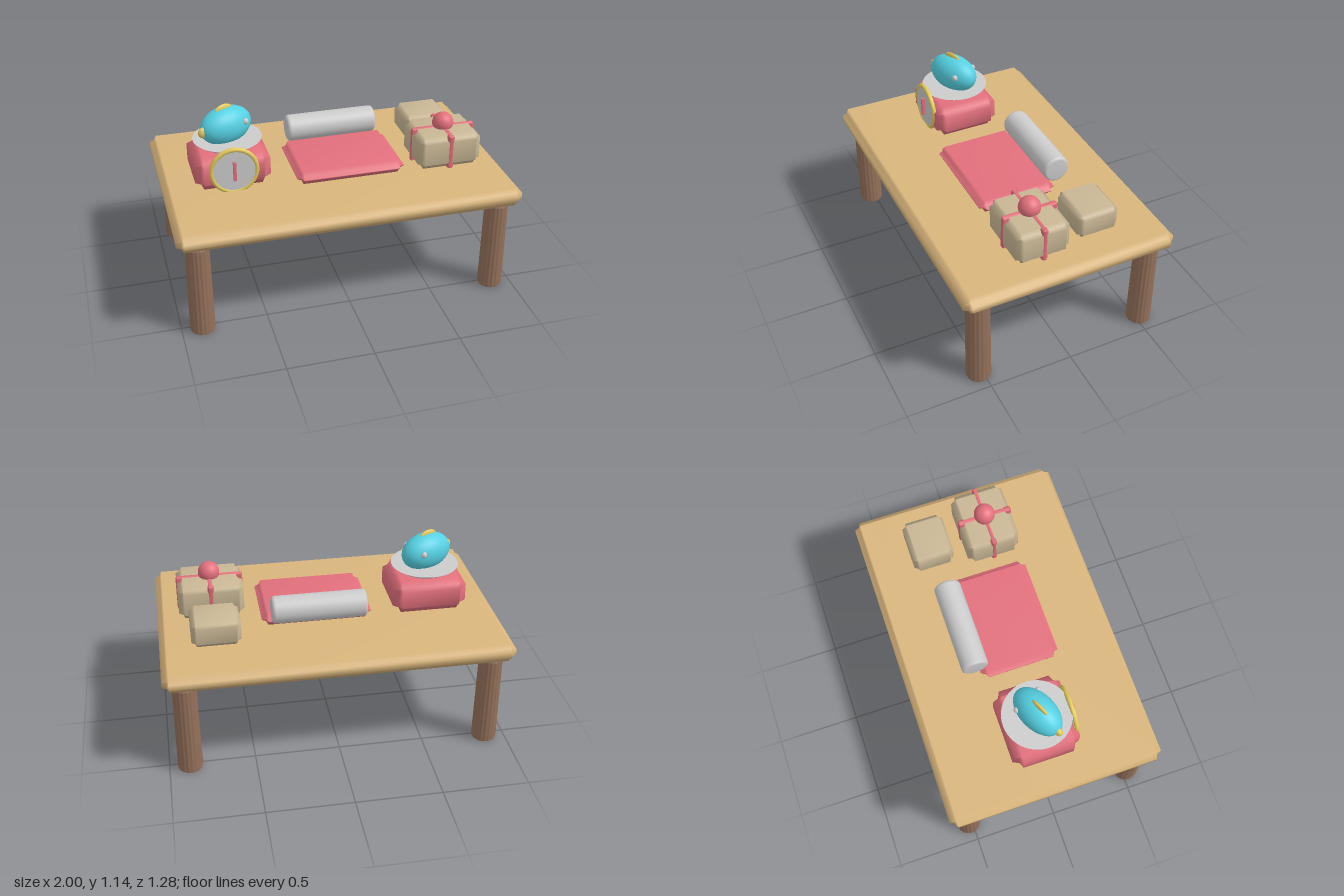
import * as THREE from 'three';
import { mergeVertices } from 'three/addons/utils/BufferGeometryUtils.js';

const mat = (color) => new THREE.MeshStandardMaterial({ color });
const WOOD = mat(0xd9b57c), BARK = mat(0x93705a), PINK = mat(0xe2707c), BEIGE = mat(0xc9b795);
const GREY = mat(0xcccccc), CYAN = mat(0x55d0e2), GOLD = mat(0xe2c95c);

// Box whose edges and corners are pulled in to soft coves, with smooth normals
function softBox(w, h, d, r) {
  let geo = new THREE.BoxGeometry(1, 1, 1, 3, 3, 3);
  geo.deleteAttribute('normal');
  geo.deleteAttribute('uv');
  geo = mergeVertices(geo);
  const pos = geo.attributes.position;
  const half = [w / 2, h / 2, d / 2];
  const reach = [0, 1, 0.3, 0.2];
  for (let i = 0; i < pos.count; i++) {
    const p = [pos.getX(i), pos.getY(i), pos.getZ(i)];
    const k = reach[p.filter((c) => Math.abs(c) > 0.4).length] * r;
    const q = p.map((c, a) => Math.sign(c) * (half[a] - r + (Math.abs(c) > 0.4 ? k : 0)));
    pos.setXYZ(i, ...q);
  }
  geo.computeVertexNormals();
  return geo;
}

// Tapered leg with flutes around it and slightly narrower end rims
function flutedLeg() {
  const flutes = 18, height = 0.56;
  const geo = new THREE.CylinderGeometry(1, 1, height, flutes * 4, 3);
  const pos = geo.attributes.position;
  for (let i = 0; i < pos.count; i++) {
    const x = pos.getX(i), y = pos.getY(i), z = pos.getZ(i);
    const t = y / height + 0.5;
    const end = t < 0.01 || t > 0.99;
    const a = Math.atan2(z, x);
    const flute = 1 - 0.05 * (0.5 - 0.5 * Math.cos(a * flutes));
    const r = (0.077 - 0.013 * t) * (end ? 0.9 : flute);
    const yNew = end ? y : Math.sign(y) * (height / 2 - 0.012);
    pos.setXYZ(i, x * r, yNew, z * r);
  }
  geo.computeVertexNormals();
  return geo;
}

export function createModel() {
  const model = new THREE.Group();
  const add = (name, geo, material, x, y, z, parent = model) => {
    const mesh = new THREE.Mesh(geo, material);
    mesh.name = name;
    mesh.position.set(x, y, z);
    parent.add(mesh);
    return mesh;
  };
  const ball = (name, rx, ry, rz, material, x, y, z, parent) => {
    const mesh = add(name, new THREE.SphereGeometry(1, 32, 20), material, x, y, z, parent);
    mesh.scale.set(rx, ry, rz);
    return mesh;
  };

  // Table
  add('tabletop', softBox(2, 0.115, 1.28, 0.04), WOOD, 0, 0.628, 0);
  const leg = flutedLeg();
  for (const sx of [-1, 1]) for (const sz of [-1, 1]) add('tableLeg', leg, BARK, sx * 0.88, 0.28, sz * 0.523);

  // Weighing scale: base, pan, dial, rim and needle
  const scale = new THREE.Group();
  scale.name = 'weighingScale';
  scale.position.set(-0.6, 0, 0);
  model.add(scale);
  add('scaleBase', softBox(0.44, 0.205, 0.4, 0.05), PINK, 0, 0.787, 0, scale);
  add('scalePan', new THREE.CylinderGeometry(0.2, 0.155, 0.03, 48), GREY, 0, 0.915, 0, scale);
  add('scaleDial', new THREE.CylinderGeometry(0.13, 0.13, 0.025, 48).rotateX(Math.PI / 2), GREY, 0, 0.81, 0.193, scale);
  add('dialRim', new THREE.TorusGeometry(0.131, 0.014, 12, 48), GOLD, 0, 0.81, 0.196, scale);
  add('dialNeedle', new THREE.BoxGeometry(0.017, 0.115, 0.02), PINK, 0, 0.813, 0.215, scale);

  // Round animal resting on the pan
  const animal = new THREE.Group();
  animal.name = 'animal';
  animal.position.set(-0.605, 1.006, 0);
  animal.rotation.y = 0.445;
  model.add(animal);
  ball('animalBody', 0.165, 0.111, 0.1, CYAN, 0, 0, 0, animal);
  ball('animalTail', 0.035, 0.034, 0.022, GOLD, -0.152, 0, 0, animal);
  ball('animalCrest', 0.058, 0.032, 0.013, GOLD, -0.01, 0.1, 0, animal);
  for (const s of [-1, 1]) ball('animalEye', 0.018, 0.019, 0.015, GREY, 0.082, 0.026, s * 0.083, animal);

  // Mat with a roll lying along its back edge
  add('mat', softBox(0.645, 0.08, 0.475, 0.037), PINK, 0.078, 0.725, 0.037);
  const rollProfile = [[0, -0.275], [0.065, -0.275], [0.076, -0.268], [0.08, -0.255],
    [0.08, 0.255], [0.076, 0.268], [0.065, 0.275], [0, 0.275]].map(([r, y]) => new THREE.Vector2(r, y));
  add('roll', new THREE.LatheGeometry(rollProfile, 40).rotateZ(Math.PI / 2), GREY, 0.075, 0.82, -0.228);

  // Parcel tied with two ribbons and a ball on top
  add('parcel', softBox(0.385, 0.207, 0.322, 0.035), BEIGE, 0.678, 0.788, 0.12);
  add('ribbonFrontBack', softBox(0.036, 0.214, 0.33, 0.008), PINK, 0.678, 0.789, 0.12);
  add('ribbonAcross', softBox(0.393, 0.214, 0.032, 0.008), PINK, 0.678, 0.789, 0.12);
  ball('ribbonBall', 0.063, 0.063, 0.063, PINK, 0.678, 0.914, 0.12);

  // Smaller parcel
  add('smallParcel', softBox(0.283, 0.16, 0.25, 0.03), BEIGE, 0.676, 0.765, -0.243);
  return model;
}
